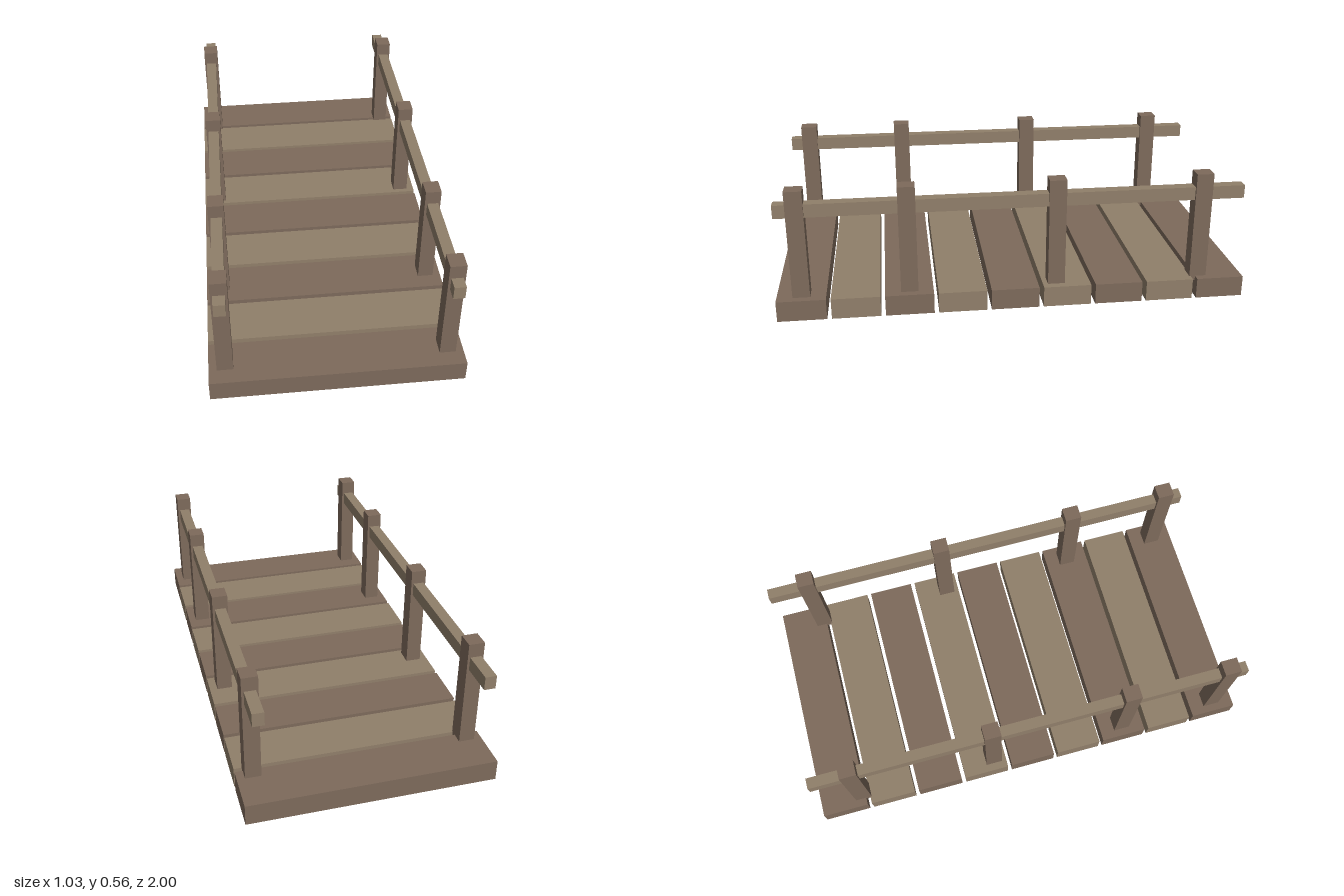
import * as THREE from 'three';

const darkWood = new THREE.MeshStandardMaterial({ color: 0x7d6a5b });
const lightWood = new THREE.MeshStandardMaterial({ color: 0x907f6a });

function beam(name, material, size, position) {
  const mesh = new THREE.Mesh(new THREE.BoxGeometry(...size), material);
  mesh.name = name;
  mesh.position.set(...position);
  return mesh;
}

export function createModel() {
  const bridge = new THREE.Group();
  bridge.name = 'footbridge';

  // Deck: nine planks in alternating wood tones with narrow gaps
  const deck = new THREE.Group();
  deck.name = 'deck';
  const plankCount = 9, plankDepth = 0.205, plankHeight = 0.09;
  const pitch = (2 - plankDepth) / (plankCount - 1);
  for (let i = 0; i < plankCount; i++) {
    const z = (i - (plankCount - 1) / 2) * pitch;
    deck.add(beam('plank', i % 2 ? lightWood : darkWood, [1.03, plankHeight, plankDepth], [0, plankHeight / 2, z]));
  }
  bridge.add(deck);

  // Railings: unevenly spaced posts sunk into the deck, with one rail through them
  const postBottom = 0.07, postTop = 0.56;
  for (const side of [1, -1]) {
    const railing = new THREE.Group();
    railing.name = side > 0 ? 'leftRailing' : 'rightRailing';
    const x = side * 0.449;
    for (const z of [0.897, 0.447, -0.18, -0.806]) {
      railing.add(beam('post', darkWood, [0.066, postTop - postBottom, 0.073], [x, (postTop + postBottom) / 2, z]));
    }
    railing.add(beam('rail', lightWood, [0.047, 0.057, 1.97], [x, 0.472, 0]));
    bridge.add(railing);
  }

  return bridge;
}
